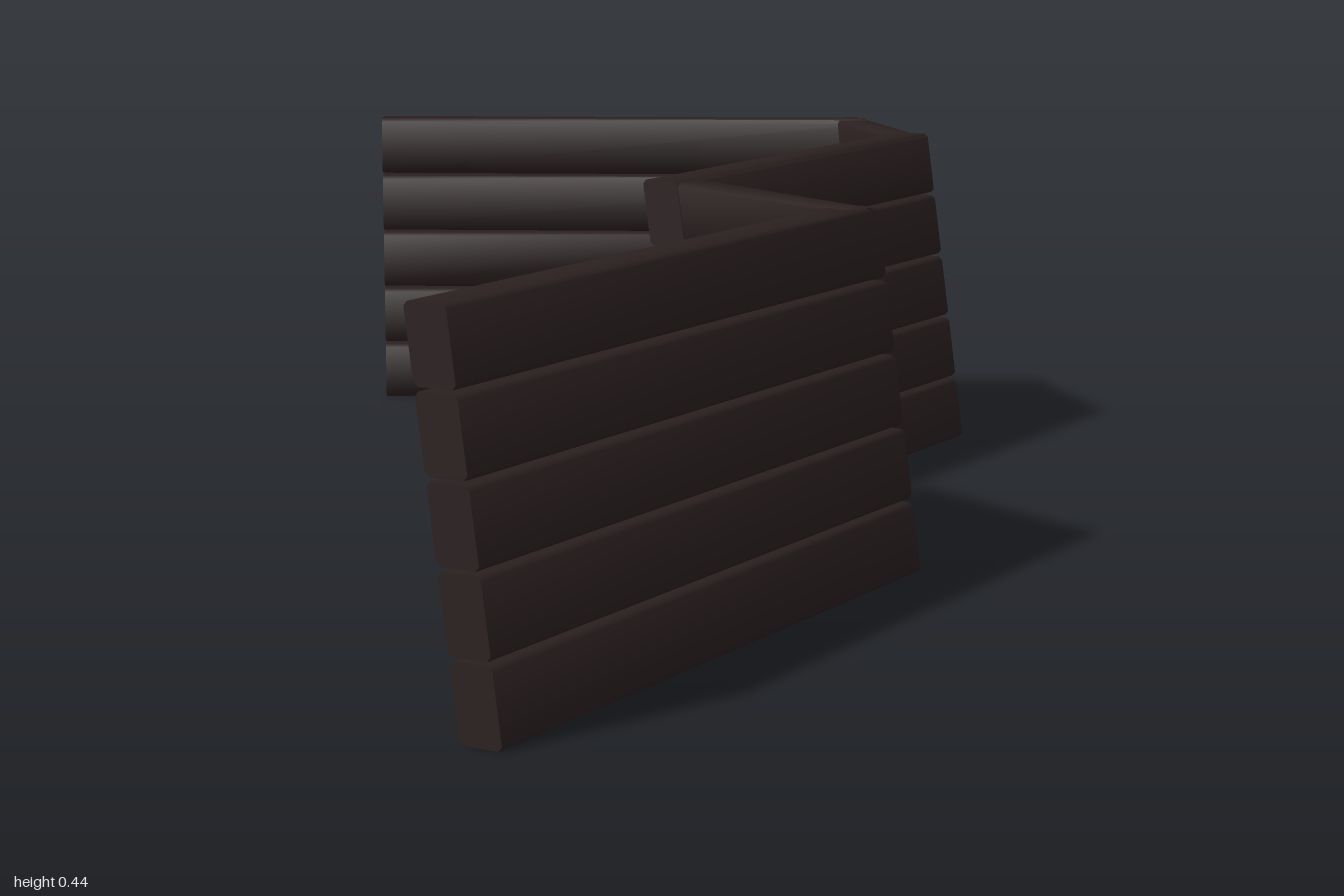
import * as THREE from 'three';
import { toCreasedNormals } from 'three/addons/utils/BufferGeometryUtils.js';

const PLANKS = 5, PITCH = 0.0885, HEIGHT = 0.084, THICK = 0.05, LEAN = 0.15, BEVEL = 0.005;

// Leaning plank cross-section with chamfered corners: u points outward, v up
function plankShape(y0) {
  const y1 = y0 + HEIGHT, b = BEVEL;
  const outer = (y) => -LEAN * y;
  const inner = (y) => outer(y) - THICK;
  return new THREE.Shape([
    [inner(y0) + b, y0], [outer(y0) - b, y0],
    [outer(y0 + b), y0 + b], [outer(y1 - b), y1 - b],
    [outer(y1) - b, y1], [inner(y1) + b, y1],
    [inner(y1 - b), y1 - b], [inner(y0 + b), y0 + b],
  ].map(([u, v]) => new THREE.Vector2(u, v)));
}

// One straight wall section whose outer foot runs from (x0, z0) to (x1, z1)
function wallSection(name, [x0, z0, x1, z1], material) {
  const section = new THREE.Group();
  section.name = name;
  const along = new THREE.Vector3(x1 - x0, 0, z1 - z0);
  const length = along.length();
  along.normalize();
  const outward = new THREE.Vector3(along.z, 0, -along.x);
  const frame = new THREE.Matrix4()
    .makeBasis(outward, new THREE.Vector3(0, 1, 0), along)
    .setPosition(x0, 0, z0);
  for (let i = 0; i < PLANKS; i++) {
    const geometry = new THREE.ExtrudeGeometry(plankShape(i * PITCH), { depth: length, bevelEnabled: false });
    geometry.applyMatrix4(frame);
    const plank = new THREE.Mesh(toCreasedNormals(geometry, 1), material);
    plank.name = `plank${i + 1}`;
    section.add(plank);
  }
  return section;
}

export function createModel() {
  const model = new THREE.Group();
  model.name = 'plankWall';
  const wood = new THREE.MeshStandardMaterial({ color: 0x2b2020 });
  wood.name = 'dark wood';

  // Zigzag of wall sections, from the back right corner to the front left
  const sections = {
    backWall: [-0.627, -0.635, 0.008, -1.0],
    backCornerWall: [0.073, -0.993, 0.259, -0.808],
    middleWall: [0.293, -0.767, 0.293, -0.037],
    slantedWall: [0.284, -0.132, 0.59, 0.016],
    frontWall: [0.627, 0.065, 0.627, 1.0],
  };
  for (const [name, foot] of Object.entries(sections)) model.add(wallSection(name, foot, wood));
  return model;
}
